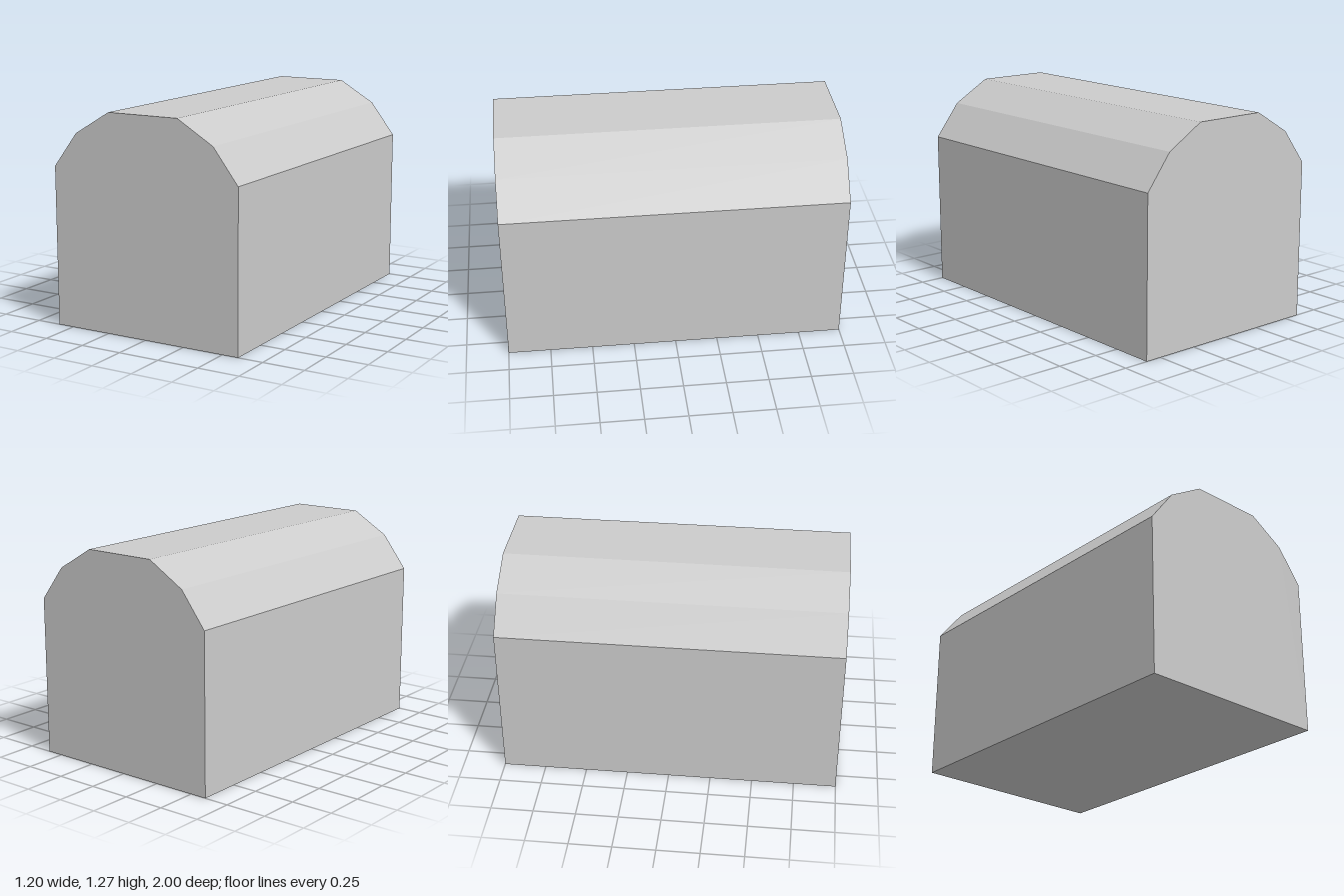
import * as THREE from 'three';

const LENGTH = 2;

// Right half of the end profile, from the floor up to the flat ridge
const HALF_PROFILE = [[0.6, 0], [0.6, 0.935], [0.447, 1.135], [0.224, 1.268]];

export function createModel() {
  const group = new THREE.Group();
  group.name = 'vaultedBlock';

  // Mirror the half profile to close the outline counter-clockwise
  const right = HALF_PROFILE.map(([x, y]) => new THREE.Vector2(x, y));
  const left = HALF_PROFILE.map(([x, y]) => new THREE.Vector2(-x, y)).reverse();
  const outline = new THREE.Shape([...right, ...left]);

  // Solid body with a faceted barrel roof, extruded along z
  const geometry = new THREE.ExtrudeGeometry(outline, { depth: LENGTH, bevelEnabled: false });
  geometry.translate(0, 0, -LENGTH / 2);

  const material = new THREE.MeshStandardMaterial({ color: 0xcccccc, flatShading: true });
  const body = new THREE.Mesh(geometry, material);
  body.name = 'barrelRoofBody';
  group.add(body);

  return group;
}
